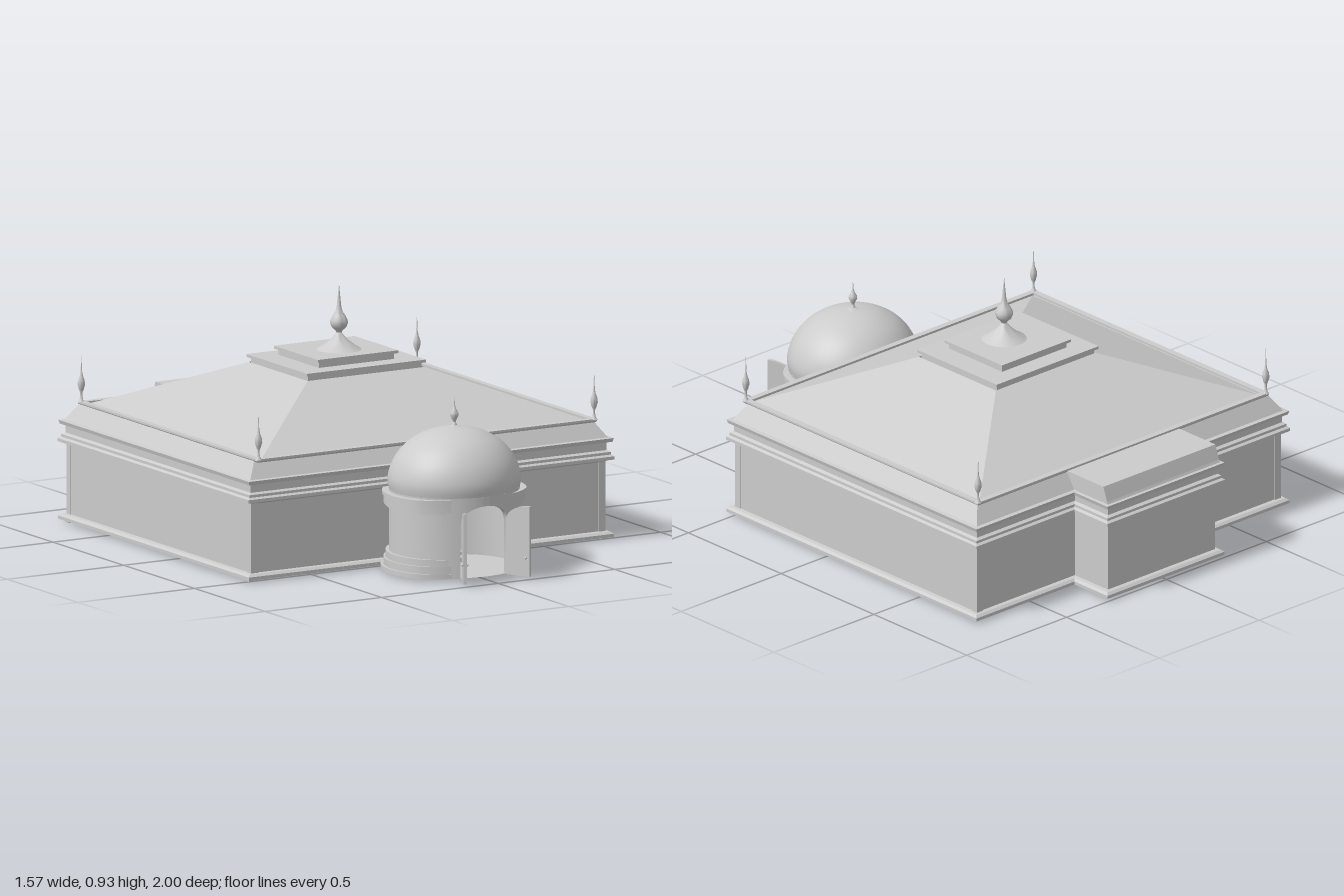
import * as THREE from 'three';
import { toCreasedNormals } from 'three/addons/utils/BufferGeometryUtils.js';

const material = new THREE.MeshStandardMaterial({ color: 0xcccccc, side: THREE.DoubleSide });
const MID = -0.145;  // centre of the roof crown in z
const PORCH = 0.69;  // centre of the domed porch in z
const DEPTH = 0.93;  // porch is a little shallower than wide

// Surface through a stack of closed rings with equal point counts
function skin(rings, crease = 0.5) {
  const pos = [];
  for (let j = 0; j + 1 < rings.length; j++) {
    const lo = rings[j], hi = rings[j + 1], n = lo.length;
    for (let i = 0; i < n; i++) {
      const k = (i + 1) % n;
      pos.push(...lo[i], ...lo[k], ...hi[k], ...lo[i], ...hi[k], ...hi[i]);
    }
  }
  const g = new THREE.BufferGeometry();
  g.setAttribute('position', new THREE.Float32BufferAttribute(pos, 3));
  g.computeVertexNormals();
  return toCreasedNormals(g, crease);
}

// Plan corners run anticlockwise from above as [x, -z]; push them outwards by d
function offset(plan, d) {
  const n = plan.length;
  const normal = (a, b) => {
    const l = Math.hypot(b[0] - a[0], b[1] - a[1]);
    return [(b[1] - a[1]) / l, (a[0] - b[0]) / l];
  };
  return plan.map((p, i) => {
    const u = normal(plan[(i + n - 1) % n], p), v = normal(p, plan[(i + 1) % n]);
    return [p[0] + d * (u[0] + v[0]), p[1] + d * (u[1] + v[1])];
  });
}
const ringAt = (plan, y) => plan.map(([x, w]) => [x, y, -w]);
const sweep = (plan, profile) => skin(profile.map(([d, y]) => ringAt(offset(plan, d), y)), 0.1);
function slab(plan, y) {
  const g = new THREE.ShapeGeometry(new THREE.Shape(plan.map(([x, w]) => new THREE.Vector2(x, w))));
  return g.rotateX(-Math.PI / 2).translate(0, y, 0);
}
const rect = (x, z0, z1) => [[-x, -z1], [x, -z1], [x, -z0], [-x, -z0]];

function lathe(points, segments = 24) {
  const g = new THREE.LatheGeometry(points.map(([r, y]) => new THREE.Vector2(r, y)), segments);
  return toCreasedNormals(g, 0.7);
}

export function createModel() {
  const root = new THREE.Group();
  const add = (name, geometry, x = 0, y = 0, z = 0, parent = root) => {
    const m = new THREE.Mesh(geometry, material);
    m.name = name;
    m.position.set(x, y, z);
    parent.add(m);
    return m;
  };

  // Hall and rear annex: one moulded profile swept round the T-shaped plan
  const plan = [[-0.755, -0.5], [0.755, -0.5], [0.755, 0.792], [0.265, 0.792],
    [0.265, 0.97], [-0.265, 0.97], [-0.265, 0.792], [-0.755, 0.792]];
  add('walls', sweep(plan, [[0, 0.01], [0.028, 0.01], [0.028, 0.022], [0.018, 0.03], [0.003, 0.032],
    [0.003, 0.29], [0.012, 0.297], [0.03, 0.3], [0.03, 0.312], [0.02, 0.318], [0.02, 0.328],
    [0.008, 0.334], [0.008, 0.362], [0.024, 0.366], [0.028, 0.38], [0.012, 0.382]]));
  const hallPlan = rect(0.755, -0.792, 0.5);
  add('eaves', sweep(hallPlan, [[0.012, 0.382], [-0.03, 0.445], [-0.055, 0.445]]));
  add('floor', slab(hallPlan, 0.08));
  add('annexFloor', new THREE.BoxGeometry(0.58, 0.012, 0.66), 0, 0.016, -0.65);

  // Annex roof: flat, with a sloped rear edge and upright sides
  const annex = new THREE.Shape([[0.74, 0.375], [0.99, 0.375], [0.982, 0.39], [0.962, 0.445], [0.74, 0.445]]
    .map(p => new THREE.Vector2(...p)));
  add('annexRoof', new THREE.ExtrudeGeometry(annex, { depth: 0.56, bevelEnabled: false })
    .rotateY(Math.PI / 2).translate(-0.28, 0, 0));

  for (const sx of [-1, 1]) for (const z of [0.492, -0.784]) {
    add('cornerPilaster', new THREE.BoxGeometry(0.03, 0.27, 0.03), sx * 0.746, 0.165, z);
    add('cornerFoot', new THREE.BoxGeometry(0.022, 0.014, 0.022), sx * 0.757, 0.007, z);
  }

  // Hipped roof with its rim and stepped crown
  add('roofRim', sweep(rect(0.725, -0.765, 0.495), [[0, 0.44], [0.004, 0.446], [0.004, 0.453], [-0.02, 0.453], [-0.02, 0.44]]));
  add('roof', skin([ringAt(rect(0.71, -0.755, 0.485), 0.44), ringAt(rect(0.25, -0.35, 0.065), 0.622)], 0.1));
  const crownStep = (name, x, z, y, h) => {
    const base = rect(x, MID - z, MID + z);
    add(name, sweep(base, [[-0.012, y], [-0.012, y + h * 0.65], [0, y + h * 0.7], [0, y + h]]));
    add(name + 'Top', slab(base, y + h));
  };
  crownStep('lowerCrown', 0.255, 0.215, 0.615, 0.035);
  crownStep('upperCrown', 0.173, 0.155, 0.648, 0.035);
  add('mainFinial', lathe([[0.085, 0], [0.06, 0.015], [0.036, 0.034], [0.018, 0.052], [0.01, 0.064],
    [0.014, 0.072], [0.027, 0.083], [0.033, 0.098], [0.032, 0.11], [0.024, 0.126], [0.013, 0.142],
    [0.008, 0.165], [0.005, 0.195], [0, 0.246]]), 0, 0.682, -0.125);

  // Corner spires
  const spire = lathe([[0.013, 0], [0.007, 0.008], [0.004, 0.022], [0.004, 0.036], [0.009, 0.048],
    [0.014, 0.066], [0.012, 0.082], [0.006, 0.098], [0.003, 0.115], [0, 0.18]], 12);
  for (const x of [-0.72, 0.72]) for (const z of [0.492, -0.76]) add('cornerSpire', spire, x, 0.45, z);

  // Porch drum with an arched opening at the front
  const R = 0.245, T = 0.015, half = Math.asin(0.1 / R), top = 0.31;
  const turn = (section, t) => section.map(([r, y]) => [r * Math.sin(t), y, PORCH + r * DEPTH * Math.cos(t)]);
  const drum = [];
  const column = (t, bottom) => drum.push(turn([[R, top], [R, bottom], [R - T, bottom], [R - T, top]], t));
  for (let i = 0; i <= 24; i++) {
    const t = -half + 2 * half * i / 24;
    const k = Math.min(1, Math.abs(R * Math.sin(t)) / 0.1);
    column(t, 0.215 + 0.06 * Math.sqrt(1 - k * k));
  }
  for (let i = 0; i <= 48; i++) column(half + (2 * Math.PI - 2 * half) * i / 48, 0.01);
  add('porchWall', skin(drum));
  const disc = new THREE.CircleGeometry(R, 48).rotateX(-Math.PI / 2).scale(1, 1, DEPTH);
  add('porchFloor', disc, 0, 0.012, PORCH);

  // Stepped base and cornice bands, tapering into the wall either side of the doors
  const band = (name, r, y0, y1) => {
    const inner = R - 0.004, start = 0.55, rings = [];
    for (let i = 0; i <= 64; i++) {
      const t = start + (2 * Math.PI - 2 * start) * i / 64;
      const fade = Math.min(1, 0.15 + Math.min(t - start, 2 * Math.PI - start - t) / 0.6);
      const outer = inner + (r - inner) * fade;
      rings.push(turn([[outer, y1], [outer, y0], [inner, y0], [inner, y1]], t));
    }
    add(name, skin(rings));
  };
  band('porchBase', 0.275, 0.01, 0.028);
  band('porchBase', 0.265, 0.028, 0.055);
  band('porchBase', 0.257, 0.055, 0.08);
  band('porchCornice', 0.254, 0.245, 0.255);
  band('porchCornice', 0.264, 0.255, 0.29);
  band('porchCornice', 0.27, 0.29, 0.303);

  // Dome and its finial
  const domeCurve = new THREE.SplineCurve([[0.243, 0.3], [0.25, 0.345], [0.238, 0.395], [0.212, 0.44],
    [0.17, 0.482], [0.115, 0.513], [0.06, 0.529], [0, 0.537]].map(p => new THREE.Vector2(...p)));
  add('dome', new THREE.LatheGeometry(domeCurve.getPoints(24), 48).scale(1, 1, DEPTH), 0, 0, PORCH);
  add('domeFinial', lathe([[0.026, 0], [0.01, 0.008], [0.005, 0.02], [0.01, 0.032], [0.016, 0.044],
    [0.015, 0.054], [0.007, 0.068], [0.003, 0.082], [0, 0.116]], 16), 0, 0.532, PORCH);

  // Open door leaves, each half of the arch
  const leaf = new THREE.Shape();
  leaf.moveTo(0, 0.01);
  leaf.lineTo(0, 0.215);
  leaf.absellipse(0.1, 0.215, 0.1, 0.058, Math.PI, Math.PI / 2, true);
  leaf.lineTo(0.1, 0.01);
  const leafGeometry = new THREE.ExtrudeGeometry(leaf, { depth: 0.012, bevelEnabled: false, curveSegments: 12 });
  leafGeometry.translate(0, 0, -0.006);
  for (const s of [1, -1]) {
    const side = new THREE.Group();
    side.name = s > 0 ? 'leftDoor' : 'rightDoor';
    side.scale.x = s;
    const hinge = new THREE.Group();
    hinge.position.set(0.094, 0, 0.908);
    hinge.rotation.y = -1.1;
    side.add(hinge);
    add('doorLeaf', leafGeometry, 0, 0, 0, hinge);
    for (const z of [-0.009, 0.009]) add('doorKnob', new THREE.SphereGeometry(0.005, 10, 8), 0.086, 0.08, z, hinge);
    root.add(side);
  }

  // Stairs and the inner doorway at the back of the porch
  for (let i = 0; i < 5; i++) {
    const h = 0.014 * (i + 1), d = 0.14 - 0.024 * i;
    add('stairStep', new THREE.BoxGeometry(0.13, h, d), 0, 0.012 + h / 2, 0.5 + d / 2);
  }
  const arch = (w, y0, spring) => {
    const p = new THREE.Shape();
    p.moveTo(-w, y0);
    p.lineTo(w, y0);
    p.lineTo(w, spring);
    p.absarc(0, spring, w, 0, Math.PI, false);
    return p;
  };
  const frame = arch(0.08, 0.08, 0.2);
  frame.holes.push(arch(0.062, 0.085, 0.2));
  add('innerDoorFrame', new THREE.ExtrudeGeometry(frame, { depth: 0.02, bevelEnabled: false }), 0, 0, 0.495);

  return root;
}
